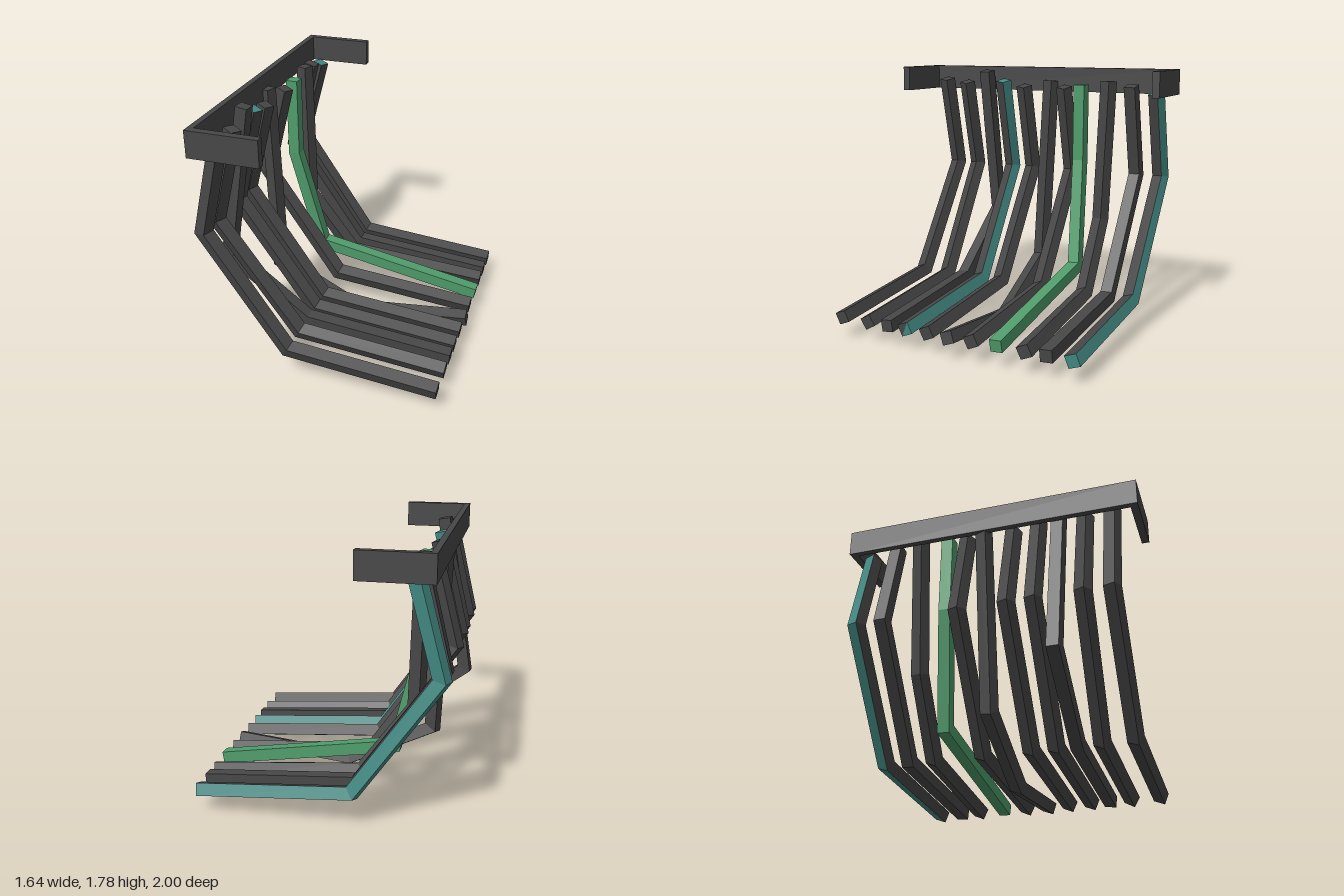
import * as THREE from 'three';

const charcoal = new THREE.MeshStandardMaterial({ color: 0x474747, name: 'charcoal' });
const green = new THREE.MeshStandardMaterial({ color: 0x4f9c6b, name: 'green' });
const teal = new THREE.MeshStandardMaterial({ color: 0x438a84, name: 'teal' });
charcoal.flatShading = green.flatShading = teal.flatShading = true;

const Z = new THREE.Vector3(0, 0, 1);
const HALF_DIAGONAL = 0.058;

// Square bar mitred along a path. One geometry group per face, in this order:
// inner, back, outer, front sides, top cap, then the two halves of the end cap.
function barGeometry(path, roll) {
  const pts = path.map(p => new THREE.Vector3(...p));
  const dirs = pts.slice(1).map((p, i) => p.clone().sub(pts[i]).normalize());
  const rings = pts.map((p, i) => {
    const before = dirs[Math.max(i - 1, 0)];
    const after = dirs[Math.min(i, dirs.length - 1)];
    const t = before.clone().add(after).normalize();
    const mitre = 1 / t.dot(after);
    const up = Z.clone().cross(t).normalize();
    const side = t.clone().cross(up);
    return [0, 1, 2, 3].map(k => {
      const a = roll + Math.PI / 4 + k * Math.PI / 2;
      return p.clone()
        .addScaledVector(side, Math.cos(a) * HALF_DIAGONAL)
        .addScaledVector(up, Math.sin(a) * HALF_DIAGONAL * mitre);
    });
  });

  const positions = [];
  const geometry = new THREE.BufferGeometry();
  const tri = (...corners) => corners.forEach(c => positions.push(c.x, c.y, c.z));
  const group = (index, build) => {
    const start = positions.length / 3;
    build();
    geometry.addGroup(start, positions.length / 3 - start, index);
  };
  for (let k = 0; k < 4; k++) {
    group(k, () => {
      for (let i = 0; i < rings.length - 1; i++) {
        const n = (k + 1) % 4, a = rings[i], b = rings[i + 1];
        tri(a[k], b[k], b[n]);
        tri(a[k], b[n], a[n]);
      }
    });
  }
  const s = rings[0], e = rings[rings.length - 1];
  group(4, () => { tri(s[0], s[1], s[2]); tri(s[0], s[2], s[3]); });
  group(5, () => tri(e[3], e[2], e[1]));
  group(6, () => tri(e[3], e[1], e[0]));
  geometry.setAttribute('position', new THREE.Float32BufferAttribute(positions, 3));
  geometry.computeVertexNormals();
  return geometry;
}

// Usual bent profile, with z at the top and at the foot
const bent = (top, zTop, zFoot = zTop) => [
  [-0.6, top, zTop], [-0.76, 1.02, zTop], [-0.22, 0.235, zFoot], [0.795, 0.15, zFoot]];

const c = charcoal, g = green, t = teal;
const plain = [c, c, c, c, c, c, c];
const bars = [
  { path: bent(1.69, 0.82), roll: -0.38 },
  { path: bent(1.67, 0.64, 0.61), roll: -0.5 },
  { path: [[-0.6, 1.755, 0.465], [-0.78, 0.66, 0.46], [-0.22, 0.235, 0.455], [0.795, 0.15, 0.455]], roll: -0.1 },
  { path: bent(1.685, 0.325, 0.315), roll: -0.38, faces: [c, t, c, c, t, t, c] },
  { path: bent(1.65, 0.15), roll: -0.42 },
  { path: [[-0.67, 1.69, -0.04], [-0.61, 0.36, 0], [-0.02, 0.065, 0], [0.805, 0.15, -0.01]], roll: -0.35 },
  { path: bent(1.65, -0.175), roll: -0.42 },
  { path: [[-0.59, 1.67, -0.315], [-0.59, 1.12, -0.315], [-0.41, 0.365, -0.365], [0.8, 0.155, -0.355]], roll: -0.05,
    faces: [g, g, g, g, g, g, g] },
  { path: [[-0.59, 1.7, -0.525], [-0.56, 0.7, -0.495], [-0.22, 0.235, -0.515], [0.795, 0.15, -0.545]], roll: -0.4 },
  { path: bent(1.67, -0.69), roll: -0.05 },
  { path: bent(1.62, -0.875, -0.86), roll: -0.35, faces: [c, t, t, c, t, t, t] },
];

export function createModel() {
  const model = new THREE.Group();
  model.name = 'slattedSeat';

  // Three-sided top rail
  const rail = new THREE.Group();
  rail.name = 'topRail';
  const box = (name, w, d, x, z) => {
    const mesh = new THREE.Mesh(new THREE.BoxGeometry(w, 0.175, d), charcoal);
    mesh.name = name;
    mesh.position.set(x, 1.7, z);
    rail.add(mesh);
  };
  box('backBeam', 0.04, 2, -0.705, 0);
  for (const side of [1, -1]) box(side > 0 ? 'frontArm' : 'rearArm', 0.425, 0.05, -0.4725, side * 0.975);
  model.add(rail);

  // Row of bent bars
  bars.forEach(({ path, roll, faces = plain }, i) => {
    const bar = new THREE.Mesh(barGeometry(path, roll), faces);
    bar.name = `bentBar${i + 1}`;
    model.add(bar);
  });
  return model;
}
